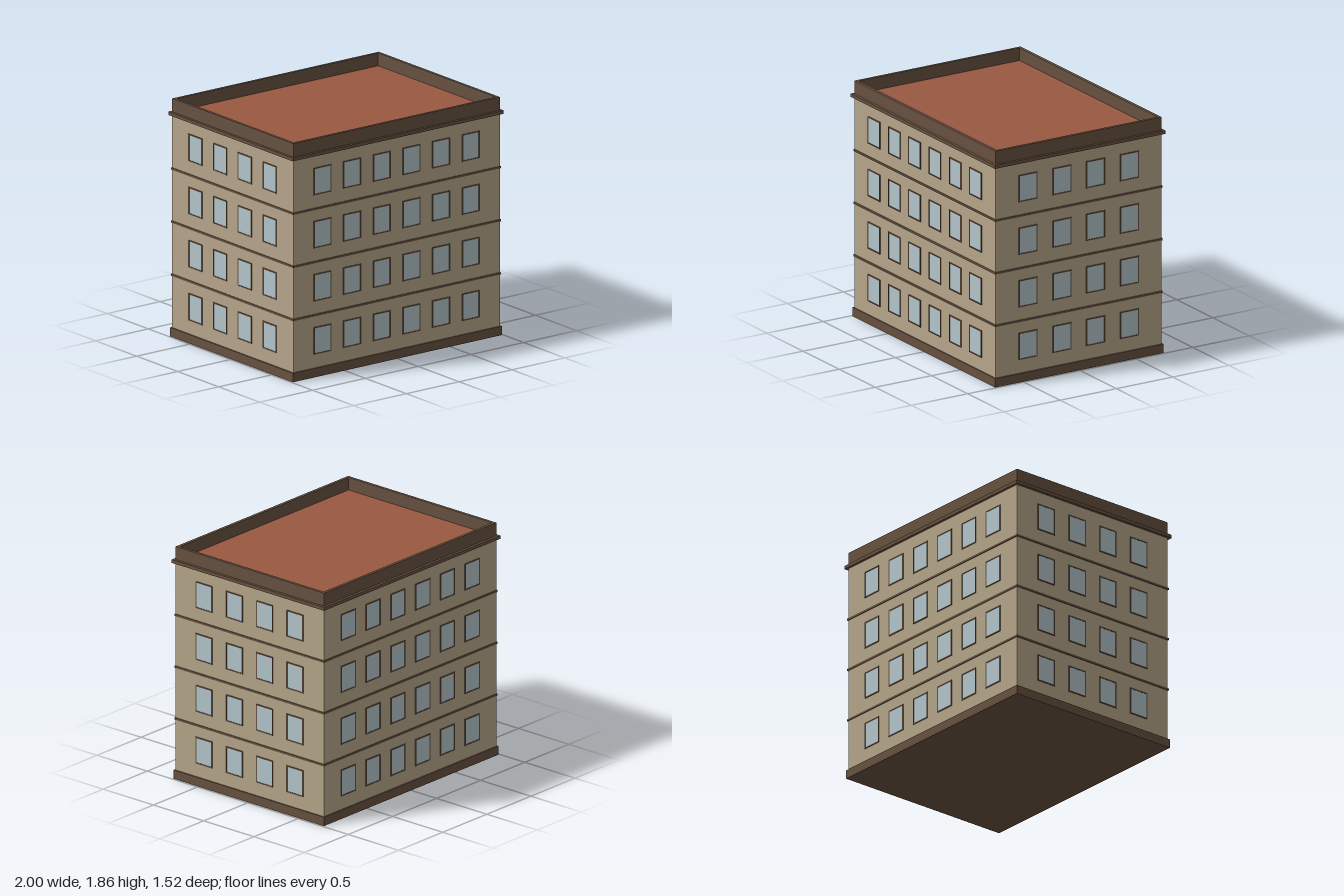
import * as THREE from 'three';

const W = 1.956, D = 1.474; // wall width and depth
const FLOOR = 0.415;        // storey spacing

const mat = (name, color) => {
  const m = new THREE.MeshStandardMaterial({ color });
  m.name = name;
  return m;
};

export function createModel() {
  const model = new THREE.Group();
  model.name = 'building';
  const wall = mat('sandWall', 0xb5a58a);
  const trim = mat('brownTrim', 0x675140);
  const glass = mat('paleGlass', 0xb3c5ca);
  const roof = mat('redRoof', 0x985841);

  const add = (parent, name, geometry, material) => {
    const mesh = new THREE.Mesh(geometry, material);
    mesh.name = name;
    parent.add(mesh);
    return mesh;
  };
  // Box spanning y0..y1, projecting beyond the walls by "out"
  const slab = (name, out, y0, y1, material) => {
    const g = new THREE.BoxGeometry(W + 2 * out, y1 - y0, D + 2 * out);
    add(model, name, g.translate(0, (y0 + y1) / 2, 0), material);
  };
  const rect = (Type, w, h) => new Type([
    new THREE.Vector2(-w / 2, -h / 2), new THREE.Vector2(w / 2, -h / 2),
    new THREE.Vector2(w / 2, h / 2), new THREE.Vector2(-w / 2, h / 2),
  ]);

  // Body, plinth, storey bands and cornice
  slab('walls', 0, 0.07, 1.73, wall);
  slab('plinth', 0.011, 0, 0.07, trim);
  for (let i = 1; i <= 3; i++) {
    const y = 0.067 + i * FLOOR;
    slab('storeyBand', 0.006, y - 0.008, y + 0.008, trim);
  }
  slab('cornice', 0.021, 1.73, 1.756, trim);

  // Parapet ring around the sunken roof
  const ring = rect(THREE.Shape, W, D);
  ring.holes.push(rect(THREE.Path, W - 0.046, D - 0.046));
  const parapet = new THREE.ExtrudeGeometry(ring, { depth: 0.105, bevelEnabled: false });
  add(model, 'parapet', parapet.rotateX(-Math.PI / 2).translate(0, 1.755, 0), trim);
  add(model, 'roof', new THREE.BoxGeometry(W - 0.046, 0.008, D - 0.046).translate(0, 1.756, 0), roof);

  // Window: thin raised frame around a pane
  const frameShape = rect(THREE.Shape, 0.166, 0.213);
  frameShape.holes.push(rect(THREE.Path, 0.148, 0.195));
  const frameGeo = new THREE.ExtrudeGeometry(frameShape, { depth: 0.006, bevelEnabled: false });
  const paneGeo = new THREE.BoxGeometry(0.148, 0.195, 0.004);

  // Window grid on one facade; local +z points outward
  const facade = (name, angle, distance, columns, spacing) => {
    const side = new THREE.Group();
    side.name = name;
    side.rotation.y = angle;
    for (let row = 0; row < 4; row++) {
      for (let c = 0; c < columns; c++) {
        const x = (c - (columns - 1) / 2) * spacing;
        const y = 0.282 + row * FLOOR;
        add(side, 'windowFrame', frameGeo, trim).position.set(x, y, distance);
        add(side, 'windowPane', paneGeo, glass).position.set(x, y, distance + 0.001);
      }
    }
    model.add(side);
  };
  facade('frontWindows', 0, D / 2, 6, 0.281);
  facade('backWindows', Math.PI, D / 2, 6, 0.281);
  facade('leftWindows', Math.PI / 2, W / 2, 4, 0.301);
  facade('rightWindows', -Math.PI / 2, W / 2, 4, 0.301);

  return model;
}
